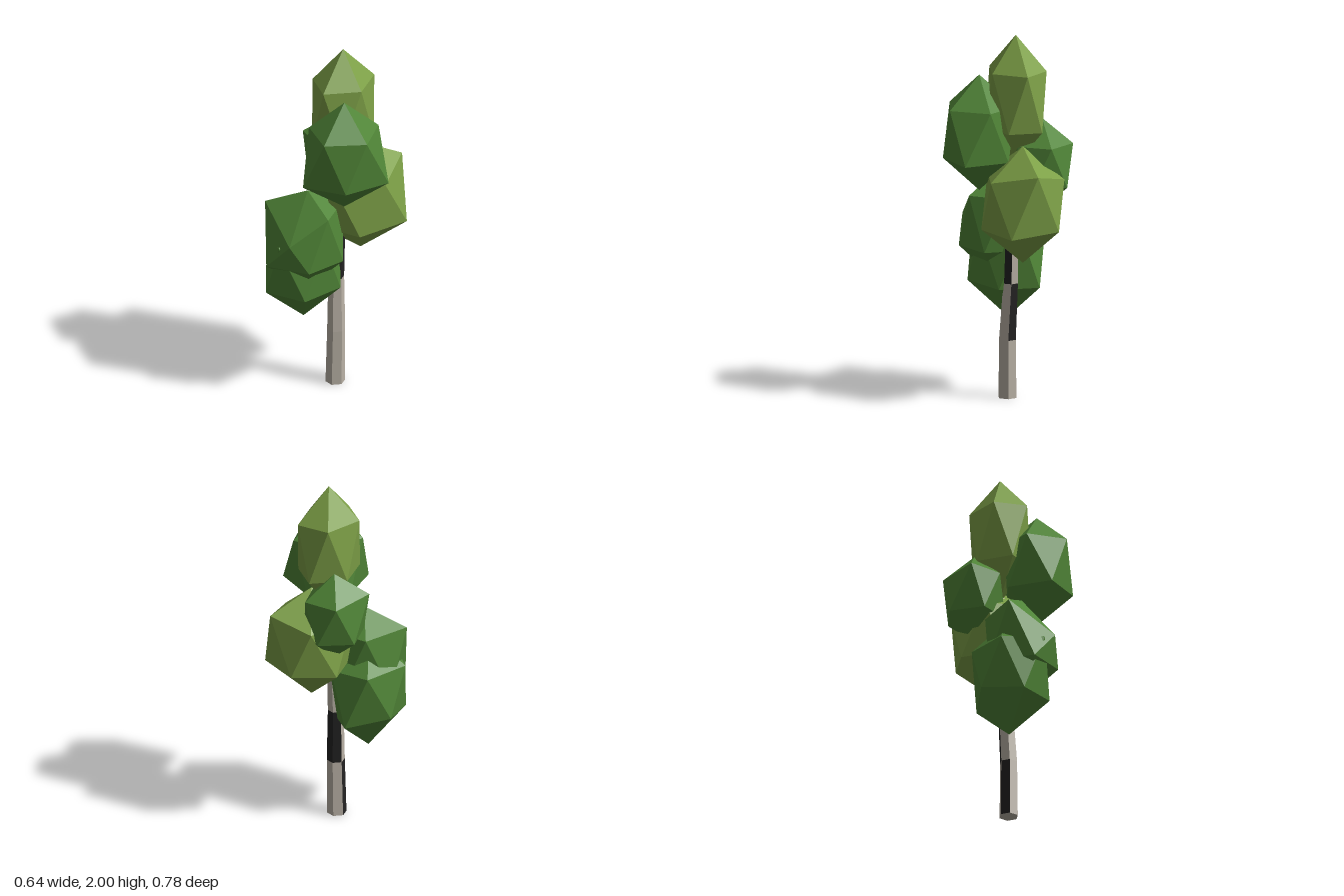
import * as THREE from 'three';

const material = (name, color) => Object.assign(new THREE.MeshStandardMaterial({ color }), { name });

// Separate the corners of every face so that each one is shaded flat.
function facetedGeometry(points, index) {
  const g = new THREE.BufferGeometry();
  g.setAttribute('position', new THREE.Float32BufferAttribute(points.flat(), 3));
  g.setIndex(index);
  const flat = g.toNonIndexed();
  flat.computeVertexNormals();
  return flat;
}

// Upright icosahedron: 0 top, 1-5 upper ring, 6-10 lower ring, 11 bottom.
// nudges moves single corners to make the clump irregular.
function leafClump(name, mat, [cx, cy, cz], [rx, ry, rz], nudges = {}) {
  const points = [[0, 1, 0]];
  for (const [level, turn] of [[1, 0], [-1, 0.5]]) {
    for (let i = 0; i < 5; i++) {
      const a = (i + turn) * Math.PI * 0.4;
      points.push([0.894 * Math.cos(a), 0.447 * level, 0.894 * Math.sin(a)]);
    }
  }
  points.push([0, -1, 0]);
  const placed = points.map(([x, y, z], k) => {
    const [dx, dy, dz] = nudges[k] ?? [0, 0, 0];
    return [cx + x * rx + dx, cy + y * ry + dy, cz + z * rz + dz];
  });
  const index = [];
  for (let i = 0; i < 5; i++) {
    const j = (i + 1) % 5;
    const u = 1 + i, v = 1 + j, l = 6 + i, m = 6 + j;
    index.push(0, v, u, u, v, l, l, v, m, 11, l, m);
  }
  const mesh = new THREE.Mesh(facetedGeometry(placed, index), mat);
  mesh.name = name;
  return mesh;
}

// Bent six-sided trunk; the listed sides of each section carry dark bark.
function trunk(paleBark, darkBark) {
  const group = new THREE.Group();
  group.name = 'trunk';
  // centre x, height, centre z, radius
  const stations = [
    [-0.02, 0, 0.008, 0.053], [-0.017, 0.32, 0.004, 0.049], [-0.03, 0.63, -0.007, 0.043],
    [-0.03, 0.92, -0.022, 0.037], [-0.03, 1.3, -0.05, 0.025],
  ];
  const darkSides = [[2], [3, 4], [5, 0], []];
  const points = [];
  for (const [x, y, z, r] of stations) {
    for (let i = 0; i < 6; i++) {
      const a = i * Math.PI / 3;
      points.push([x + r * Math.cos(a), y, z + r * Math.sin(a)]);
    }
  }
  const pale = [], dark = [];
  darkSides.forEach((sides, s) => {
    for (let i = 0; i < 6; i++) {
      const a = s * 6 + i, b = s * 6 + (i + 1) % 6;
      (sides.includes(i) ? dark : pale).push(a, a + 6, b, b, a + 6, b + 6);
    }
  });
  // end caps
  const top = (stations.length - 1) * 6;
  for (let i = 1; i < 5; i++) {
    pale.push(0, i, i + 1, top, top + i + 1, top + i);
  }
  for (const [name, index, mat] of [['paleBark', pale, paleBark], ['darkBark', dark, darkBark]]) {
    const mesh = new THREE.Mesh(facetedGeometry(points, index), mat);
    mesh.name = name;
    group.add(mesh);
  }
  return group;
}

export function createModel() {
  const green = material('leaf green', 0x508537);
  const lime = material('yellow green', 0x7da047);
  const paleBark = material('pale bark', 0xbab2a6);
  const darkBark = material('dark bark', 0x232222);

  const tree = new THREE.Group();
  tree.name = 'tree';
  tree.add(
    trunk(paleBark, darkBark),
    leafClump('topLeaves', lime, [-0.03, 1.645, -0.055], [0.172, 0.355, 0.208]),
    leafClump('upperFrontLeaves', green, [0.125, 1.463, 0.065], [0.215, 0.317, 0.222],
      { 7: [-0.01, -0.01, 0.04], 10: [0.04, 0, -0.03] }),
    leafClump('upperBackLeaves', green, [-0.155, 1.29, -0.12], [0.185, 0.25, 0.19],
      { 3: [0.01, 0.02, 0.04] }),
    leafClump('middleBackLeaves', lime, [-0.005, 1.09, -0.155], [0.235, 0.32, 0.275],
      { 5: [0, 0.055, 0], 9: [-0.02, 0.02, 0.02], 10: [0.02, 0, -0.02] }),
    leafClump('middleFrontLeaves', green, [-0.055, 0.945, 0.17], [0.215, 0.33, 0.225],
      { 0: [0, -0.07, 0], 1: [-0.02, 0, 0], 2: [0.02, -0.14, 0], 3: [-0.035, 0.015, 0.02],
        7: [-0.02, -0.015, 0.03], 8: [-0.03, -0.015, 0] }),
    leafClump('lowerLeaves', green, [-0.12, 0.745, 0.145], [0.21, 0.34, 0.25],
      { 2: [0.01, 0.02, 0.015], 6: [0.02, 0.01, 0], 8: [0, 0.04, 0] }),
  );
  return tree;
}
